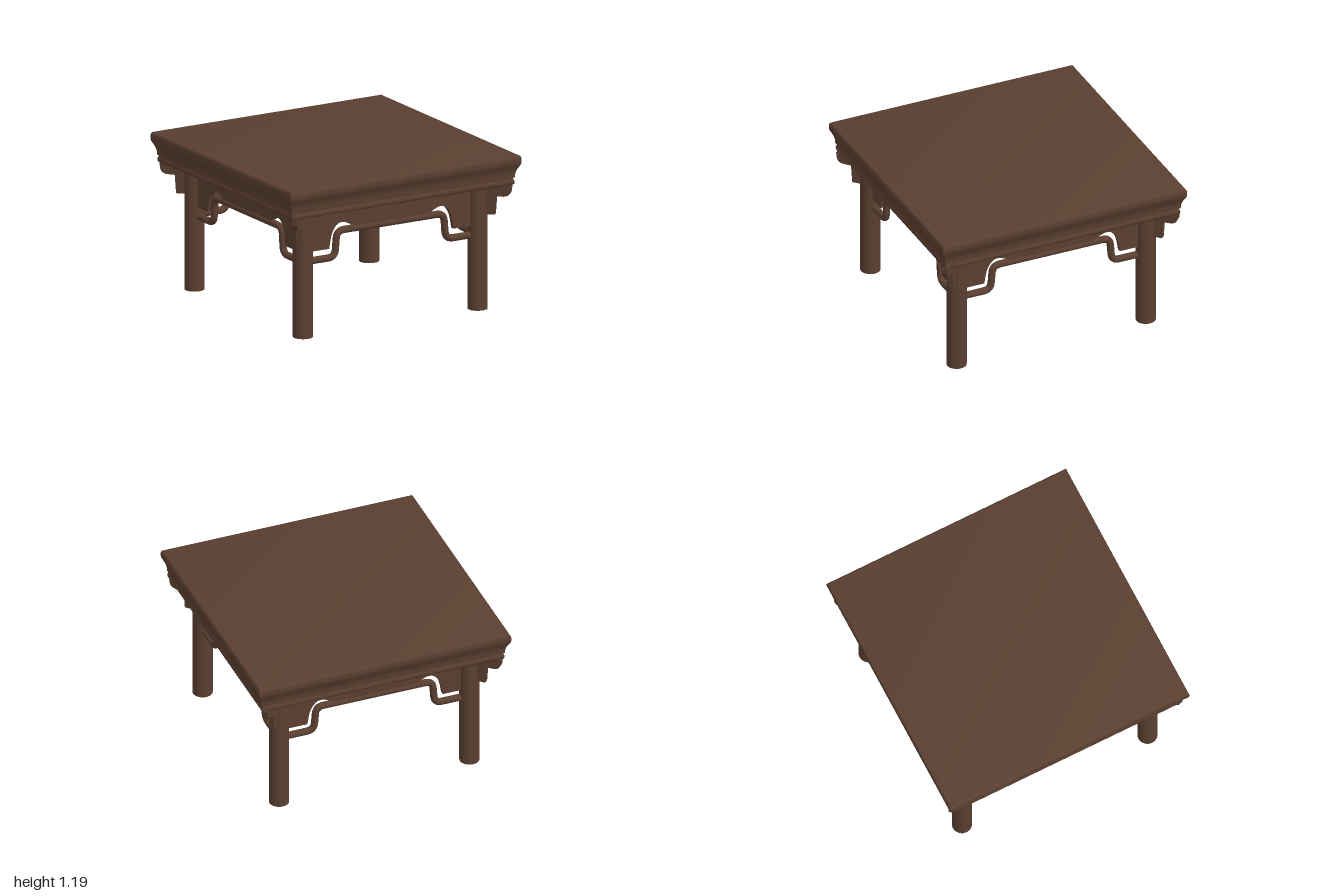
import * as THREE from 'three';
import { toCreasedNormals } from 'three/addons/utils/BufferGeometryUtils.js';

const LEG_X = 0.755, LEG_Z = 0.77, LEG_R = 0.075, UNDER = 0.96;

// Square moulding: the profile [half width, y] swept round four mitred sides, closed above and below
function mouldedSlab(profile, depthTrim) {
  const pos = [];
  const corners = [[1, 1], [1, -1], [-1, -1], [-1, 1]];
  const at = ([w, y], [sx, sz]) => [sx * w, y, sz * (w - depthTrim)];
  const quad = (a, b, c, d) => pos.push(...a, ...b, ...c, ...a, ...c, ...d);
  for (let k = 0; k < 4; k++) {
    const a = corners[k], b = corners[(k + 1) % 4];
    for (let i = 0; i < profile.length - 1; i++) {
      quad(at(profile[i], a), at(profile[i], b), at(profile[i + 1], b), at(profile[i + 1], a));
    }
  }
  const low = profile[0], high = profile[profile.length - 1];
  quad(...corners.map(c => at(high, c)));
  quad(...corners.slice().reverse().map(c => at(low, c)));
  const g = new THREE.BufferGeometry();
  g.setAttribute('position', new THREE.Float32BufferAttribute(pos, 3));
  return toCreasedNormals(g, 0.75);
}

// Plate cut from a shape, centred on its own thickness
function plate(shape, thickness) {
  const g = new THREE.ExtrudeGeometry(shape, { depth: thickness, bevelEnabled: false, curveSegments: 12 });
  g.translate(0, 0, -thickness / 2);
  return toCreasedNormals(g, 0.6);
}

// Apron board with an arched spandrel at each end
function apronGeometry(half) {
  const d = half - LEG_X;
  const arch = [[0.537, 0.645], [0.522, 0.73], [0.5, 0.785], [0.463, 0.826], [0.42, 0.834],
    [0.377, 0.82], [0.34, 0.8], [0.28, 0.775]].map(([x, y]) => new THREE.Vector2(x + d, y));
  const s = new THREE.Shape();
  s.moveTo(-half, UNDER);
  s.lineTo(-half, 0.645);
  s.lineTo(-arch[0].x, arch[0].y);
  s.splineThru(arch.slice(1).map(p => new THREE.Vector2(-p.x, p.y)));
  s.lineTo(arch[7].x, arch[7].y);
  s.splineThru(arch.slice(0, 7).reverse());
  s.lineTo(half, 0.645);
  s.lineTo(half, UNDER);
  return plate(s, 0.035);
}

// Humpbacked round stretcher: straight runs joined by rounded bends
function stretcherGeometry(half) {
  const d = half - LEG_X, r = 0.06;
  const right = [[0.462 + d, 0.77], [0.478 + d, 0.571], [half - 0.04, 0.571]];
  const pts = [...right.slice().reverse().map(([x, y]) => [-x, y]), ...right]
    .map(([x, y]) => new THREE.Vector3(x, y, 0));
  const path = new THREE.CurvePath();
  let from = pts[0];
  for (let i = 1; i < pts.length - 1; i++) {
    const p = pts[i];
    const toward = q => p.clone().add(q.clone().sub(p).setLength(r));
    const a = toward(pts[i - 1]), b = toward(pts[i + 1]);
    path.add(new THREE.LineCurve3(from, a));
    path.add(new THREE.QuadraticBezierCurve3(a, p, b));
    from = b;
  }
  path.add(new THREE.LineCurve3(from, pts[pts.length - 1]));
  return new THREE.TubeGeometry(path, 140, 0.027, 16, false);
}

// Stepped corner bracket, drawn outward from the leg axis
function bracketGeometry() {
  const s = new THREE.Shape();
  s.moveTo(0.06, UNDER);
  s.lineTo(0.06, 0.73);
  s.lineTo(0.135, 0.73);
  s.lineTo(0.145, 0.87);
  s.lineTo(0.2, 0.872);
  s.quadraticCurveTo(0.25, 0.875, 0.257, 0.92);
  s.lineTo(0.262, UNDER);
  return plate(s, 0.04);
}

export function createModel() {
  const model = new THREE.Group();
  model.name = 'squareTable';
  const wood = new THREE.MeshStandardMaterial({ color: 0x5a3f30 });
  wood.name = 'darkWood';
  const add = (name, geometry, parent = model) => {
    const mesh = new THREE.Mesh(geometry, wood);
    mesh.name = name;
    parent.add(mesh);
    return mesh;
  };

  // Table top with rounded lip, cove and bead
  add('tableTop', mouldedSlab([
    [0.953, 0.96], [0.96, 0.966], [0.962, 0.98], [0.96, 0.995], [0.954, 1.005], [0.955, 1.012],
    [0.964, 1.016], [0.965, 1.04], [0.97, 1.065], [0.978, 1.085], [0.99, 1.107], [0.997, 1.122],
    [1, 1.138], [1, 1.163], [0.996, 1.178], [0.989, 1.186], [0.978, 1.19],
  ], 0.006));

  // Round legs and diagonal brackets at the four corners
  const legGeo = new THREE.CylinderGeometry(LEG_R, LEG_R, UNDER, 32);
  const bracketGeo = bracketGeometry();
  for (const sx of [-1, 1]) for (const sz of [-1, 1]) {
    const label = (sz > 0 ? 'front' : 'back') + (sx > 0 ? 'Left' : 'Right');
    add(label + 'Leg', legGeo).position.set(sx * LEG_X, UNDER / 2, sz * LEG_Z);
    const bracket = add(label + 'Bracket', bracketGeo);
    bracket.position.set(sx * LEG_X, 0, sz * LEG_Z);
    bracket.rotation.y = Math.atan2(-sz, sx);
  }

  // Apron and stretcher on each side
  ['front', 'left', 'back', 'right'].forEach((label, k) => {
    const [half, out] = k % 2 ? [LEG_Z, LEG_X] : [LEG_X, LEG_Z];
    const side = new THREE.Group();
    side.name = label + 'Side';
    side.rotation.y = k * Math.PI / 2;
    add(label + 'Apron', apronGeometry(half), side).position.z = out;
    add(label + 'Stretcher', stretcherGeometry(half), side).position.z = out;
    model.add(side);
  });

  return model;
}
